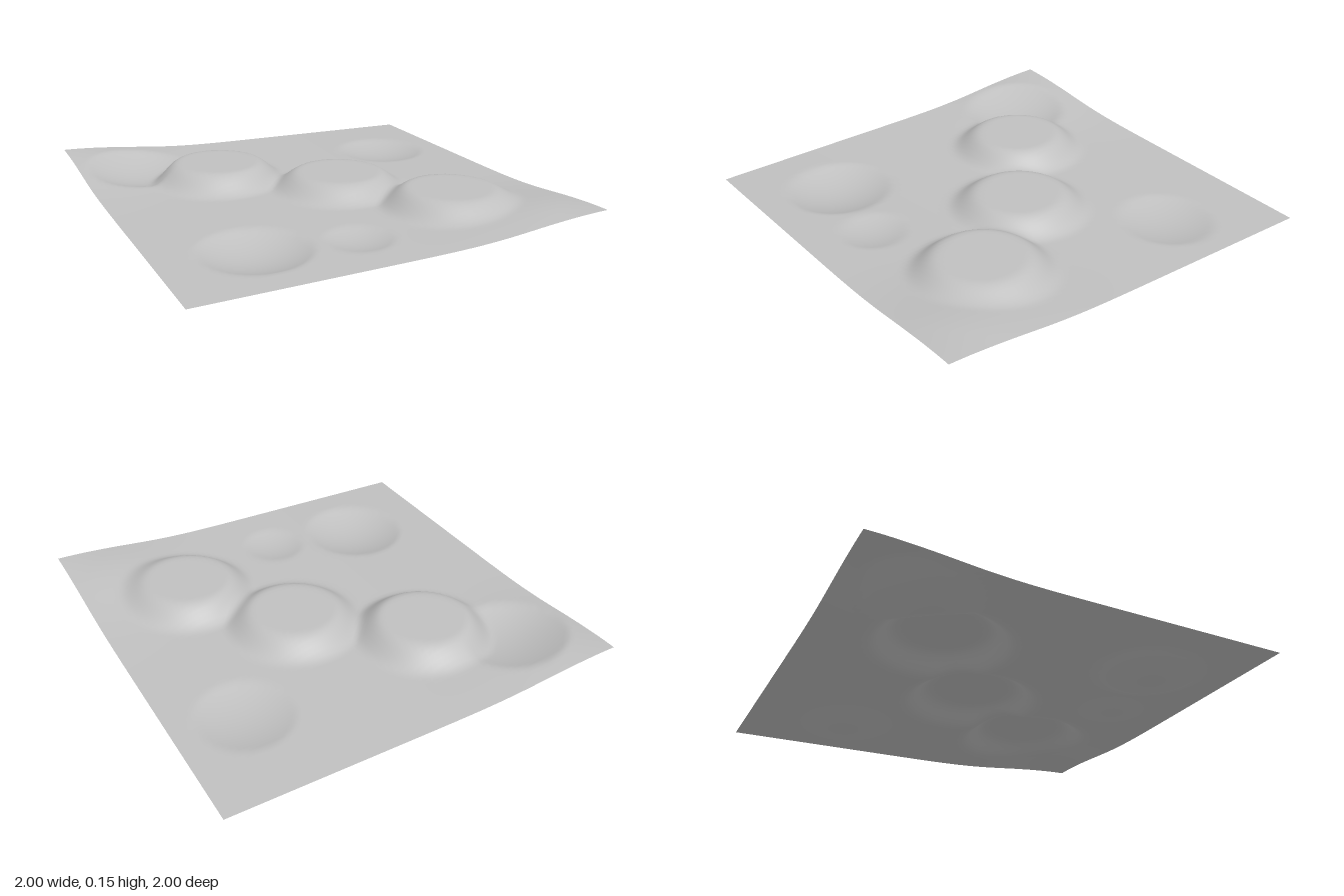
import * as THREE from 'three';

// Round craters: centre, radius, depth
const craters = [
  { x: -0.55, z: 0.59, r: 0.26, d: 0.053 },
  { x: 0.66, z: -0.5, r: 0.23, d: 0.035 },
  { x: -0.69, z: -0.64, r: 0.27, d: 0.06 },
  { x: -0.09, z: 0.67, r: 0.16, d: 0.024 },
];

// Flat-topped mounds: centre, height of the top
const mounds = [
  { x: -0.35, z: -0.39, top: 0.15 },
  { x: 0.15, z: -0.01, top: 0.14 },
  { x: 0.5, z: 0.47, top: 0.15 },
];

// Gentle saddle with two raised corners
function baseHeight(x, z) {
  const u = Math.abs(x + z) / 2, v = (x - z) / 2;
  const corner = THREE.MathUtils.smoothstep(u, 0.4, 0.85) * Math.exp(-((v / 0.25) ** 2));
  return 0.06 + 0.02 * x * z + 0.05 * corner;
}

function height(x, z) {
  let y = baseHeight(x, z);
  for (const c of craters) {
    const t = Math.hypot(x - c.x, z - c.z) / c.r;
    if (t < 1) y -= c.d * (1 - t * t);
  }
  for (const m of mounds) {
    const d = Math.hypot(x - m.x, z - m.z);
    y = THREE.MathUtils.lerp(m.top, y, THREE.MathUtils.smoothstep(d, 0.2, 0.35));
  }
  return Math.max(0, y);
}

export function createModel() {
  const group = new THREE.Group();
  group.name = 'terrain';
  const ground = new THREE.MeshStandardMaterial({ color: 0xc0c0c0, side: THREE.DoubleSide });
  ground.name = 'groundGrey';

  // Thin square sheet shaped by the height rule
  const sheet = new THREE.PlaneGeometry(2, 2, 80, 80).rotateX(-Math.PI / 2);
  const pos = sheet.attributes.position;
  for (let i = 0; i < pos.count; i++) pos.setY(i, height(pos.getX(i), pos.getZ(i)));
  sheet.computeVertexNormals();

  const mesh = new THREE.Mesh(sheet, ground);
  mesh.name = 'crateredGround';
  group.add(mesh);
  return group;
}
